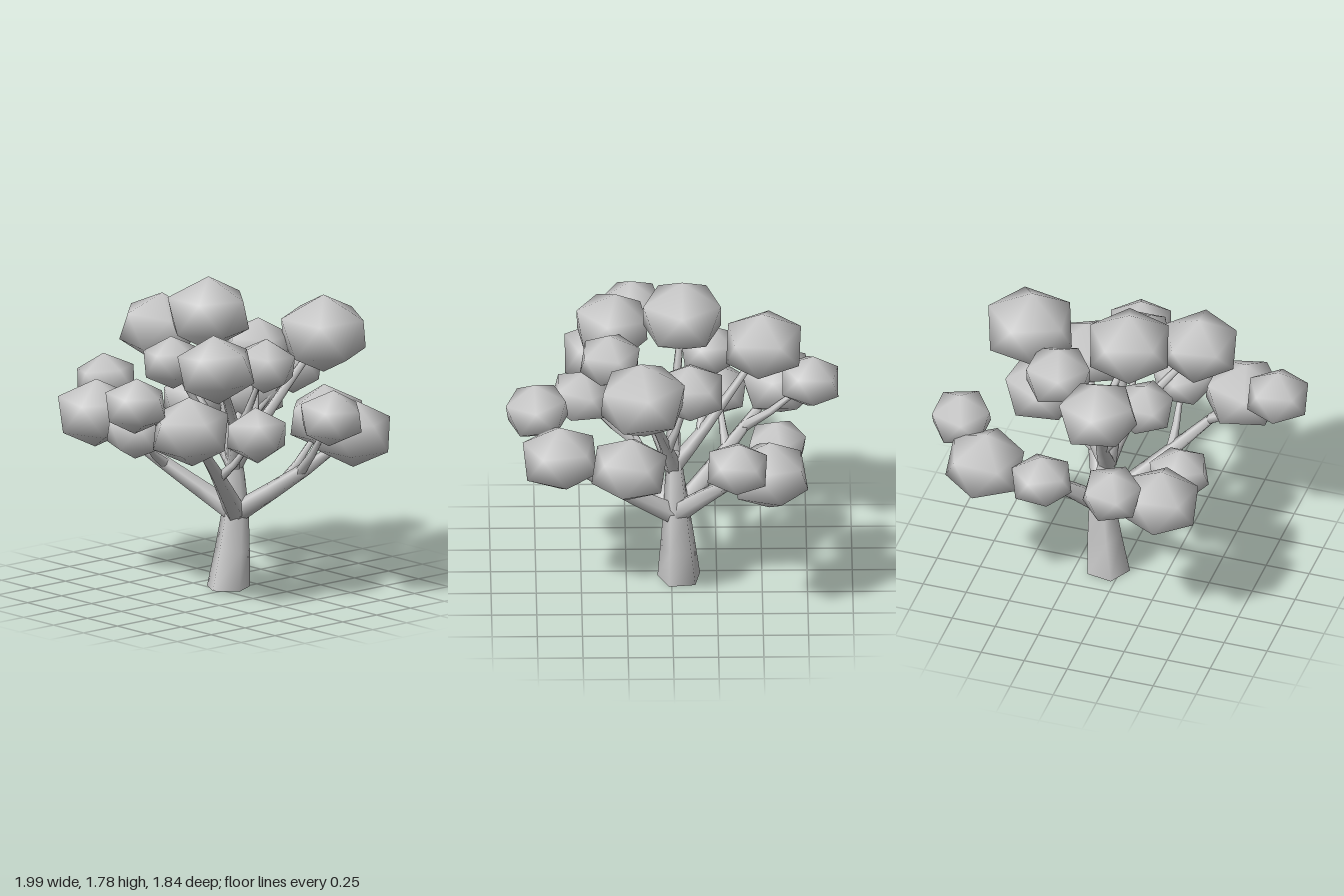
import * as THREE from 'three';
import { mergeVertices } from 'three/addons/utils/BufferGeometryUtils.js';

const SIDES = 5;
const vec = (a) => new THREE.Vector3(a[0], a[1], a[2]);

// Tapered smooth tube along a curve, with a flat cap at its start.
function limbGeometry(curve, rings, radiusAt, startDirection) {
  const pos = [];
  const index = [];
  const ref = new THREE.Vector3(0, 0, 1);
  const addRing = (s) => {
    const centre = curve.getPoint(s);
    const t = s === 0 && startDirection ? startDirection : curve.getTangent(s);
    const u = t.clone().cross(ref).normalize();
    const v = u.clone().cross(t);
    for (let k = 0; k < SIDES; k++) {
      const ang = 0.5 + (k / SIDES) * Math.PI * 2;
      const p = centre.clone()
        .addScaledVector(u, Math.cos(ang) * radiusAt(s))
        .addScaledVector(v, Math.sin(ang) * radiusAt(s));
      pos.push(p.x, p.y, p.z);
    }
  };
  for (let i = 0; i <= rings; i++) addRing(i / rings);
  for (let i = 0; i < rings; i++) {
    for (let k = 0; k < SIDES; k++) {
      const a = i * SIDES + k;
      const b = i * SIDES + ((k + 1) % SIDES);
      index.push(a, a + SIDES, b, b, a + SIDES, b + SIDES);
    }
  }
  // The cap has its own ring so the rim stays sharp
  const cap = pos.length / 3;
  addRing(0);
  for (let k = 1; k < SIDES - 1; k++) index.push(cap, cap + k, cap + k + 1);
  const g = new THREE.BufferGeometry();
  g.setAttribute('position', new THREE.Float32BufferAttribute(pos, 3));
  g.setIndex(index);
  g.computeVertexNormals();
  return g;
}

// Smooth twenty-sided leaf clump with a corner pointing up, slightly flattened.
function clumpGeometry() {
  let g = new THREE.IcosahedronGeometry(1 / 0.894, 0);
  g.deleteAttribute('normal');
  g.deleteAttribute('uv');
  g = mergeVertices(g, 1e-4);
  g.rotateZ(Math.PI / 2 - Math.atan((1 + Math.sqrt(5)) / 2));
  g.scale(1, 0.83, 1);
  g.computeVertexNormals();
  return g;
}

export function createModel() {
  const tree = new THREE.Group();
  tree.name = 'tree';
  const grey = new THREE.MeshStandardMaterial({ color: 0xcccccc });
  grey.name = 'plain grey';
  const clump = clumpGeometry();
  let clumpCount = 0;

  const add = (parent, name, geometry) => {
    const m = new THREE.Mesh(geometry, grey);
    m.name = name;
    parent.add(m);
    return m;
  };

  // Leaf clump given as [x, y, z, radius], each turned a little differently
  const addClump = (parent, c) => {
    const i = clumpCount++;
    const m = add(parent, 'leafClump', clump);
    m.position.copy(vec(c));
    m.scale.setScalar(c[3]);
    m.rotation.set(0.06 * Math.sin(i * 2.1), i * 0.47, 0.06 * Math.cos(i * 1.7));
  };

  // Limb from start over a bend into its tip clump; each twig leaves it at
  // the share given first and ends in a clump of its own
  const grow = (name, start, bend, radius, tip, ...twigs) => {
    const group = new THREE.Group();
    group.name = name;
    tree.add(group);
    const curve = new THREE.CatmullRomCurve3([vec(start), vec(bend), vec(tip)]);
    add(group, 'limb', limbGeometry(curve, 4, (s) => radius + (0.016 - radius) * s));
    addClump(group, tip);
    for (const [share, ...end] of twigs) {
      const from = curve.getPoint(share);
      const to = vec(end);
      const mid = from.clone().lerp(to, 0.4);
      mid.y -= 0.02;
      const twig = new THREE.CatmullRomCurve3([from, mid, to]);
      add(group, 'twig', limbGeometry(twig, 2, (s) => 0.032 - 0.02 * s));
      addClump(group, end);
    }
  };

  // Trunk, wide at the foot
  const trunkCurve = new THREE.CatmullRomCurve3([
    vec([0.075, 0, -0.045]), vec([0.115, 0.43, -0.03]), vec([0.085, 0.82, -0.01]),
  ]);
  const trunkRadius = (s) => (s < 0.5 ? 0.125 - 0.094 * s : 0.078 - 0.08 * (s - 0.5));
  add(tree, 'trunk', limbGeometry(trunkCurve, 4, trunkRadius, new THREE.Vector3(0, 1, 0)));

  // Low limbs spread from the trunk fork
  const fork = [0.11, 0.42, -0.02];
  grow('frontLeftLimb', fork, [-0.24, 0.73, 0.22], 0.062, [-0.575, 1.06, 0.38, 0.213],
    [0.75, -0.83, 1.215, 0.21, 0.17], [0.46, -0.19, 1, 0.495, 0.168]);
  grow('frontRightLimb', fork, [0.29, 0.71, 0.36], 0.062, [0.415, 0.94, 0.62, 0.207],
    [0.46, 0.14, 1.09, 0.745, 0.175], [0.3, 0.55, 0.94, 0.24, 0.205]);
  grow('backRightLimb', fork, [0.33, 0.71, -0.28], 0.062, [0.63, 0.945, -0.535, 0.215],
    [0.48, 0.285, 0.94, -0.58, 0.165], [0.65, 0.825, 1.09, -0.355, 0.168]);
  grow('backLeftLimb', fork, [-0.16, 0.7, -0.32], 0.062, [-0.41, 0.97, -0.6, 0.21],
    [0.48, -0.41, 0.92, -0.26, 0.165], [0.65, -0.185, 1.09, -0.77, 0.165]);

  // High limbs rise from the top of the trunk
  const crown = [0.09, 0.7, -0.01];
  grow('topLimb', crown, [0.04, 1, -0.015], 0.052, [-0.055, 1.575, -0.06, 0.226]);
  grow('highBackLimb', crown, [0.06, 0.95, -0.2], 0.052, [-0.02, 1.41, -0.51, 0.215],
    [0.4, -0.19, 1.29, -0.21, 0.16]);
  grow('highRightLimb', crown, [0.24, 0.92, 0.04], 0.05, [0.595, 1.4, 0.165, 0.24],
    [0.38, 0.345, 1.31, -0.1, 0.185]);
  grow('highLeftLimb', crown, [0, 0.93, 0.1], 0.05, [-0.34, 1.365, 0.325, 0.208],
    [0.4, 0.01, 1.335, 0.34, 0.168]);

  return tree;
}
